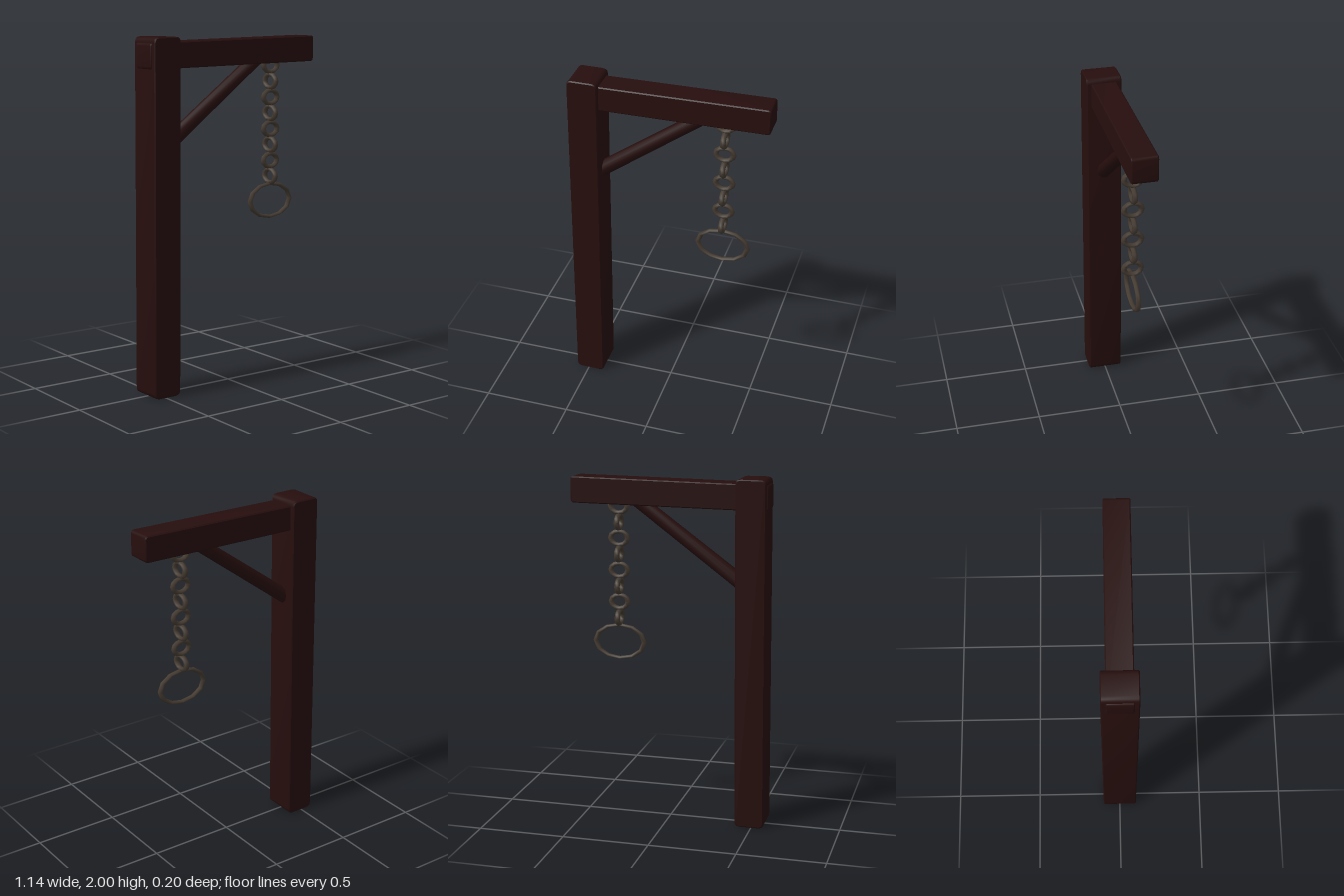
import * as THREE from 'three';
import { toCreasedNormals } from 'three/addons/utils/BufferGeometryUtils.js';

export function createModel() {
  const group = new THREE.Group();
  const wood = new THREE.MeshStandardMaterial({ color: 0x260e0d });
  wood.name = 'dark wood';
  const iron = new THREE.MeshStandardMaterial({ color: 0x443a31 });
  iron.name = 'old iron';

  const add = (name, geometry, material, parent = group) => {
    const mesh = new THREE.Mesh(geometry, material);
    mesh.name = name;
    parent.add(mesh);
    return mesh;
  };

  // Timber: a slightly crooked outline with cut corners, extruded along z
  const timber = (corners, halfDepth, cut) => {
    const bevel = 0.006;
    const pts = corners.map(([x, y]) => new THREE.Vector2(x, y));
    const shape = new THREE.Shape();
    pts.forEach((p, i) => {
      const prev = pts[(i + 3) % 4], next = pts[(i + 1) % 4];
      const a = p.clone().add(prev.clone().sub(p).setLength(cut));
      const b = p.clone().add(next.clone().sub(p).setLength(cut));
      if (i === 0) shape.moveTo(a.x, a.y); else shape.lineTo(a.x, a.y);
      shape.quadraticCurveTo(p.x, p.y, b.x, b.y);
    });
    shape.closePath();
    const geo = new THREE.ExtrudeGeometry(shape, {
      depth: 2 * (halfDepth - bevel), bevelEnabled: true, bevelSize: bevel,
      bevelThickness: bevel, bevelOffset: -bevel, bevelSegments: 1, curveSegments: 3,
    });
    geo.translate(0, 0, bevel - halfDepth);
    return toCreasedNormals(geo, 0.6);
  };

  add('post', timber([[-0.572, 0], [-0.403, 0], [-0.386, 2], [-0.558, 2]], 0.1, 0.03), wood);
  add('beam', timber([[-0.567, 1.826], [0.567, 1.838], [0.567, 1.986], [-0.567, 1.97]], 0.073, 0.018), wood);

  // Diagonal brace between post and beam
  const low = new THREE.Vector3(-0.43, 1.396, 0), high = new THREE.Vector3(0.21, 1.867, 0);
  const braceGeo = new THREE.CylinderGeometry(0.039, 0.043, low.distanceTo(high), 10);
  const brace = add('brace', toCreasedNormals(braceGeo, 0.8), wood);
  brace.position.copy(low).lerp(high, 0.5);
  brace.quaternion.setFromUnitVectors(new THREE.Vector3(0, 1, 0), high.clone().sub(low).normalize());

  // Chain of oval links, each turned a quarter from the last
  const chain = new THREE.Group();
  chain.name = 'chain';
  chain.position.x = 0.305;
  group.add(chain);
  const linkGeo = new THREE.TorusGeometry(0.05, 0.016, 6, 12);
  linkGeo.scale(1, 0.78, 1);
  for (let i = 0; i < 8; i++) {
    const link = add('chainLink', linkGeo, iron, chain);
    link.position.y = 1.82 - i * 0.092;
    link.rotation.y = (i % 2) * Math.PI / 2;
  }

  // Large oval ring at the end of the chain
  const ringGeo = new THREE.TorusGeometry(0.146, 0.015, 6, 12);
  ringGeo.scale(1, 0.67, 1);
  add('ring', ringGeo, iron, chain).position.y = 1.033;

  return group;
}
